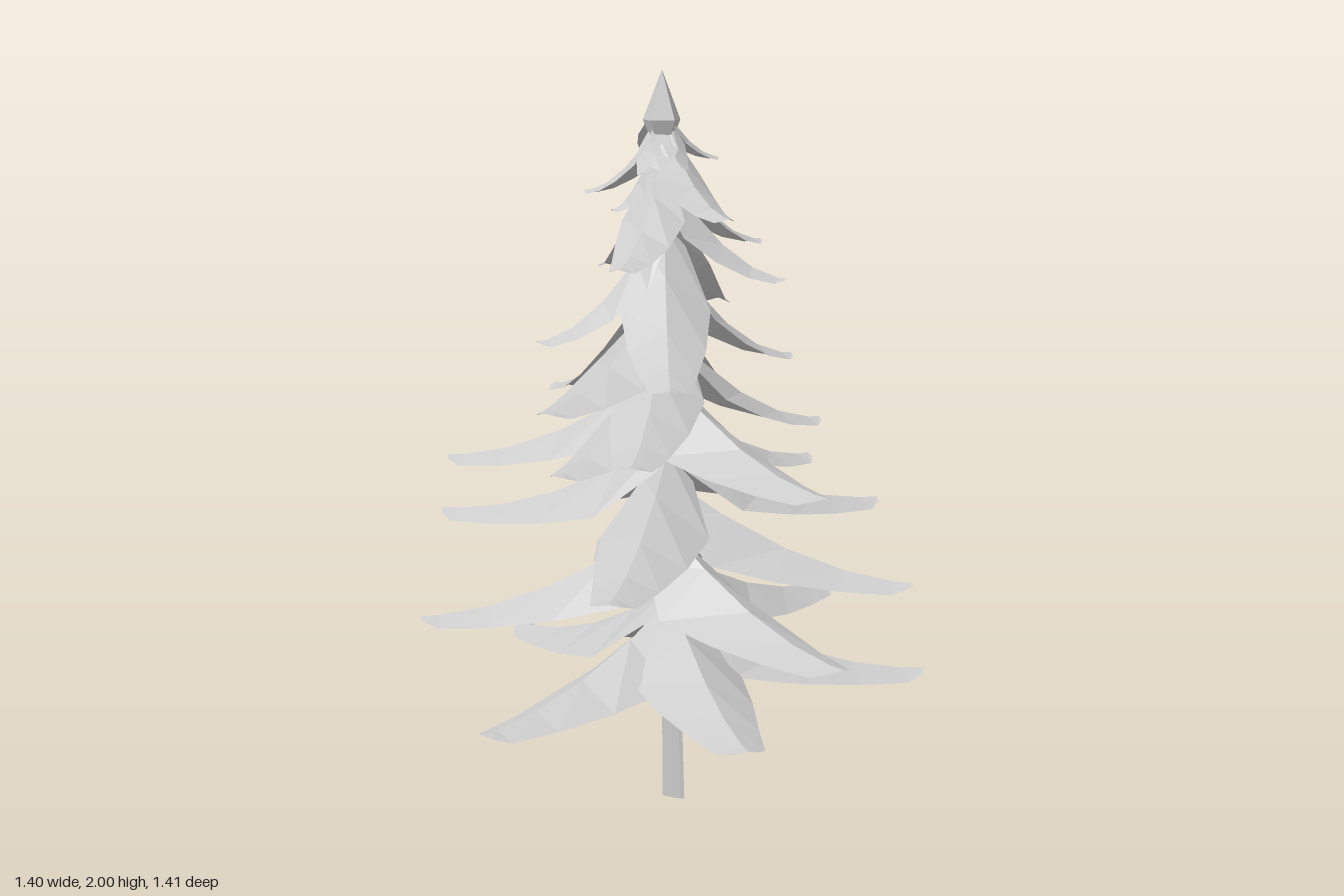
import * as THREE from 'three';

const foliage = new THREE.MeshStandardMaterial({ color: 0xcccccc, flatShading: true, side: THREE.DoubleSide });
foliage.name = 'pale grey';

// Trunk centre line, leaning slightly
const axis = (y) => new THREE.Vector3(-0.02 - 0.026 * y, y, -0.015 + 0.008 * y);

// Branch tips: x, y, z, then height of the root above the tip
const TIPS = [
  // lowest boughs
  [-0.70, 0.33, 0.03, 0.24], [0.56, 0.35, 0.38, 0.24], [-0.31, 0.35, 0.62, 0.24], [-0.03, 0.36, -0.71, 0.24],
  [0.70, 0.47, -0.18, 0.24], [-0.06, 0.53, 0.70, 0.24], [-0.60, 0.54, -0.39, 0.25],
  [0.31, 0.60, -0.68, 0.24], [0.37, 0.65, 0.52, 0.26],
  // middle boughs
  [-0.56, 0.72, 0.38, 0.26], [-0.36, 0.77, -0.62, 0.25], [0.61, 0.79, 0.13, 0.24], [0.52, 0.90, -0.06, 0.25],
  [-0.43, 0.95, -0.49, 0.26], [-0.06, 0.96, 0.63, 0.24], [-0.53, 1.00, 0.13, 0.26], [0.45, 1.03, 0.06, 0.30],
  [-0.45, 1.04, 0.33, 0.30], [0.37, 1.08, -0.49, 0.29], [-0.05, 1.11, -0.50, 0.38], [-0.58, 1.17, 0.15, 0.26],
  // upper boughs
  [0.35, 1.22, 0.05, 0.32], [-0.36, 1.23, 0.38, 0.37], [-0.39, 1.30, -0.13, 0.32],
  [0.27, 1.36, -0.15, 0.31], [0.14, 1.46, 0.26, 0.28], [-0.06, 1.47, -0.27, 0.29], [-0.34, 1.51, 0.15, 0.26],
  [0.25, 1.54, 0.03, 0.26], [-0.07, 1.63, 0.27, 0.24], [-0.20, 1.64, -0.05, 0.22], [-0.17, 1.68, -0.20, 0.20],
  // twigs below the crown
  [0.09, 1.77, 0.04, 0.14], [-0.18, 1.74, 0.06, 0.15], [-0.09, 1.75, 0.11, 0.15], [-0.02, 1.79, -0.12, 0.13],
];

// Stations along a bough: distance, half width, sag of the two edges
const STATIONS = [[0, 0.55, 0.6], [0.22, 1.15, 0.85], [0.48, 0.98, 0.5], [0.72, 0.7, 0.28], [0.92, 0.48, 0.17], [1, 0.24, 0.06]];

// Drooping bough with a ridge along its middle and a blunt tip
function boughGeometry([x, y, z, rise]) {
  const root = axis(y + rise);
  const out = new THREE.Vector3(x - root.x, 0, z - root.z);
  const length = out.length();
  const side = new THREE.Vector3(out.z, 0, -out.x).normalize();
  const width = 0.03 + 0.15 * length;
  const points = [], faces = [];
  for (const [t, w, sag] of STATIONS) {
    const ridge = root.clone().addScaledVector(out, t).setY(y + rise * Math.pow(1 - t, 1.8));
    for (const s of [-1, 0, 1]) {
      const p = ridge.clone().addScaledVector(side, s * w * width);
      p.y -= Math.abs(s) * sag * width;
      // the edges fall short of the ridge at the tip
      if (t === 1) p.addScaledVector(out, -Math.abs(s) * 0.02);
      points.push(p.x, p.y, p.z);
    }
  }
  for (let i = 0; i < STATIONS.length - 1; i++) {
    for (let j = 0; j < 2; j++) {
      const a = i * 3 + j, b = a + 3;
      faces.push(a, b, b + 1, a, b + 1, a + 1);
    }
  }
  const indexed = new THREE.BufferGeometry();
  indexed.setAttribute('position', new THREE.Float32BufferAttribute(points, 3));
  indexed.setIndex(faces);
  const geometry = indexed.toNonIndexed();
  geometry.computeVertexNormals();
  return geometry;
}

// Flattened, tapering trunk that follows the axis
function trunkGeometry() {
  const g = new THREE.CylinderGeometry(0.01, 0.034, 1.88, 8, 4);
  g.scale(0.15, 1, 1).rotateY(Math.PI / 8).translate(0, 0.94, 0);
  const pos = g.attributes.position;
  for (let i = 0; i < pos.count; i++) {
    const c = axis(pos.getY(i));
    pos.setX(i, pos.getX(i) + c.x);
    pos.setZ(i, pos.getZ(i) + c.z);
  }
  g.computeVertexNormals();
  return g;
}

export function createModel() {
  const tree = new THREE.Group();
  tree.name = 'firTree';
  const add = (name, geometry) => {
    const mesh = new THREE.Mesh(geometry, foliage);
    mesh.name = name;
    tree.add(mesh);
    return mesh;
  };

  add('trunk', trunkGeometry());
  TIPS.forEach((tip, i) => add(`bough${i + 1}`, boughGeometry(tip)));

  // Pointed crown
  const profile = [[0.035, 1.83], [0.052, 1.87], [0, 2]].map(([r, y]) => new THREE.Vector2(r, y));
  const crown = add('crown', new THREE.LatheGeometry(profile, 5));
  crown.position.set(-0.07, 0, 0);
  return tree;
}
